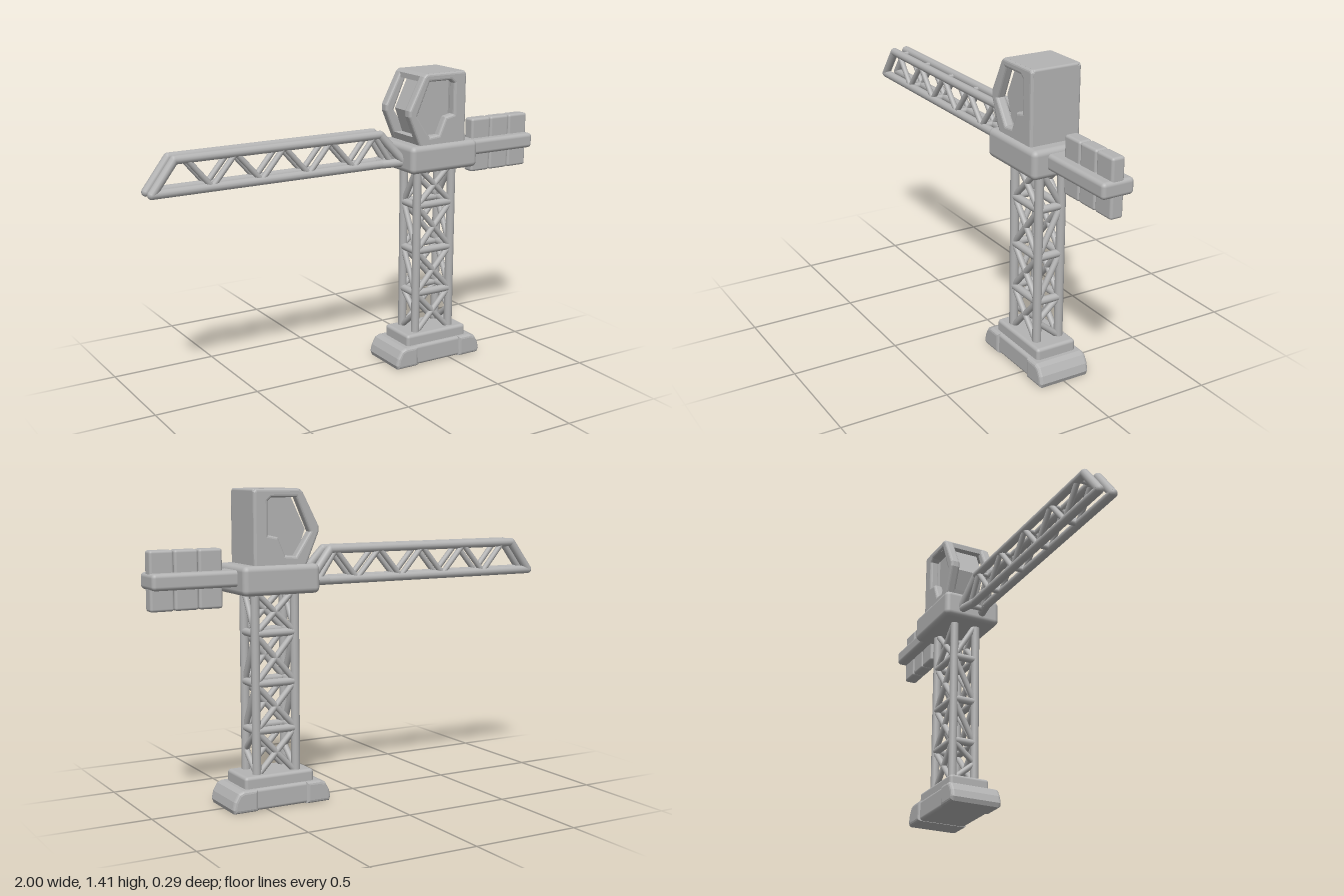
import * as THREE from 'three';
import { RoundedBoxGeometry } from 'three/addons/geometries/RoundedBoxGeometry.js';

const grey = new THREE.MeshStandardMaterial({ color: 0xb4b4b4 });
grey.name = 'plain grey';

const V = (x, y, z) => new THREE.Vector3(x, y, z);

function add(parent, name, geometry) {
  const mesh = new THREE.Mesh(geometry, grey);
  mesh.name = name;
  parent.add(mesh);
  return mesh;
}

function section(parent, name) {
  const g = new THREE.Group();
  g.name = name;
  parent.add(g);
  return g;
}

// Soft-edged block given by its extents
function block(parent, name, [x0, x1], [y0, y1], [z0, z1], r = 0.015) {
  const m = add(parent, name, new RoundedBoxGeometry(x1 - x0, y1 - y0, z1 - z0, 3, r));
  m.position.set((x0 + x1) / 2, (y0 + y1) / 2, (z0 + z1) / 2);
  return m;
}

// Round bar between two points
function bar(parent, name, a, b, r) {
  const m = add(parent, name, new THREE.CylinderGeometry(r, r, a.distanceTo(b), 12));
  m.position.copy(a).add(b).multiplyScalar(0.5);
  m.quaternion.setFromUnitVectors(V(0, 1, 0), b.clone().sub(a).normalize());
  return m;
}

// Chain of bars with ball joints at the corners
function rail(parent, name, points, r) {
  points.forEach((p, i) => {
    add(parent, name + 'Joint', new THREE.SphereGeometry(r, 12, 8)).position.copy(p);
    if (i) bar(parent, name, points[i - 1], p, r);
  });
}

// Outline in x/y extruded from z0 to z1 with rounded rims
function slab(parent, name, outline, z0, z1, bevel, hole) {
  const toVecs = (pts) => pts.map(([x, y]) => new THREE.Vector2(x, y));
  const shape = new THREE.Shape(toVecs(outline));
  if (hole) shape.holes.push(new THREE.Path(toVecs(hole)));
  const geo = new THREE.ExtrudeGeometry(shape, {
    depth: z1 - z0 - 2 * bevel, bevelEnabled: bevel > 0, bevelThickness: bevel,
    bevelSize: bevel, bevelOffset: -bevel, bevelSegments: 3,
  });
  geo.translate(0, 0, z0 + bevel);
  return add(parent, name, geo);
}

export function createModel() {
  const crane = new THREE.Group();
  crane.name = 'towerCrane';
  const cx = 0.428;

  // Base: two sloped feet joined by a slightly recessed middle
  const base = section(crane, 'base');
  const foot = [[0.235, 0], [0.0, 0], [0.0, 0.1], [0.19, 0.1], [0.215, 0.09], [0.235, 0.055], [0.243, 0.02]];
  slab(base, 'rightFoot', foot.map(([x, y]) => [cx - (x + (x ? 0 : 0.12)), y]).reverse(), -0.127, 0.127, 0.015);
  slab(base, 'leftFoot', foot.map(([x, y]) => [cx + (x + (x ? 0 : 0.12)), y]).reverse(), -0.127, 0.127, 0.015);
  block(base, 'middleBlock', [0.27, 0.59], [0.002, 0.1], [-0.118, 0.118]);
  block(base, 'upperStep', [0.26, 0.6], [0.07, 0.152], [-0.1, 0.1]);

  // Tower: four legs, rungs and diagonal bracing
  const tower = section(crane, 'tower');
  const lx = 0.097, lz = 0.057, levels = [0.14, 0.345, 0.557, 0.78, 0.97];
  for (const sx of [-1, 1]) for (const sz of [-1, 1])
    bar(tower, 'leg', V(cx + sx * lx, 0.12, sz * lz), V(cx + sx * lx, 0.98, sz * lz), 0.02);
  for (let i = 0; i < 4; i++) {
    const a = levels[i], b = levels[i + 1];
    for (const s of [-1, 1]) {
      const z = s * lz, x = cx + s * lx, flip = i === 3 ? -1 : 1;
      bar(tower, 'crossBrace', V(cx - lx, a, z), V(cx + lx, b, z), 0.014);
      bar(tower, 'crossBrace', V(cx + lx, a, z), V(cx - lx, b, z), 0.014);
      if (i) {
        bar(tower, 'rung', V(cx - lx, a, z), V(cx + lx, a, z), 0.018);
        bar(tower, 'sideRung', V(x, a, -lz), V(x, a, lz), 0.018);
        bar(tower, 'sideBrace', V(x, a, flip * lz), V(x, b, -flip * lz), 0.014);
      } else {
        bar(tower, 'sideBrace', V(x, a + 0.01, -lz), V(x, 0.245, lz), 0.014);
        bar(tower, 'sideBrace', V(x, 0.245, lz), V(x, b, -lz), 0.014);
      }
    }
  }

  // Turntable
  block(crane, 'turntable', [0.243, 0.615], [0.955, 1.085], [-0.145, 0.145], 0.025);

  // Cab: side frames with window openings around a recessed core
  const cab = section(crane, 'cab');
  const outline = [[0.305, 1.07], [0.555, 1.07], [0.555, 1.4], [0.545, 1.413], [0.335, 1.413], [0.318, 1.4],
    [0.24, 1.25], [0.24, 1.222]];
  const opening = [[0.35, 1.375], [0.47, 1.375], [0.487, 1.36], [0.487, 1.215], [0.44, 1.205], [0.405, 1.125],
    [0.355, 1.12], [0.285, 1.225]];
  for (const s of [-1, 1])
    slab(cab, 'sideFrame', outline, s < 0 ? -0.123 : 0.075, s < 0 ? -0.075 : 0.123, 0.012, opening);
  slab(cab, 'core', [[0.345, 1.07], [0.5, 1.07], [0.5, 1.39], [0.36, 1.39], [0.285, 1.235]], -0.07, 0.07, 0);
  block(cab, 'rearWall', [0.488, 0.555], [1.07, 1.413], [-0.112, 0.112], 0.01);
  slab(cab, 'roof', [[0.318, 1.375], [0.555, 1.375], [0.555, 1.4], [0.545, 1.413], [0.335, 1.413], [0.318, 1.4]],
    -0.112, 0.112, 0);
  slab(cab, 'windowSill', [[0.305, 1.07], [0.4, 1.07], [0.4, 1.12], [0.285, 1.12]], -0.1, 0.1, 0);

  // Jib: two mirrored trusses tied together along the bottom
  const jib = section(crane, 'jib');
  const tops = [-0.82, -0.59, -0.355, -0.12, 0.11], bottoms = [-0.705, -0.47, -0.235, 0.0, 0.2];
  for (const s of [-1, 1]) {
    const z = s * 0.033 - 0.004, zEnd = s * 0.055 - 0.004;
    rail(jib, 'chord', [V(0.26, 1.0, zEnd), V(0.15, 0.998, z), V(-0.98, 0.999, z), V(-0.875, 1.137, z),
      V(0.14, 1.137, z), V(0.25, 1.01, zEnd)], 0.02);
    tops.forEach((x, i) => {
      if (i) bar(jib, 'lattice', V(bottoms[i - 1], 1.0, z), V(x, 1.135, z), 0.013);
      bar(jib, 'lattice', V(x, 1.135, z), V(bottoms[i], 1.0, z), 0.013);
    });
  }
  for (const x of bottoms) bar(jib, 'bottomTie', V(x, 0.999, -0.035), V(x, 0.999, 0.03), 0.013);
  for (const x of tops) bar(jib, 'topTie', V(x, 1.135, -0.035), V(x, 1.135, 0.03), 0.01);

  // Counter-jib with three hanging weights
  const counter = section(crane, 'counterJib');
  block(counter, 'beam', [0.59, 1.0], [0.993, 1.065], [-0.079, 0.075], 0.018);
  for (let i = 0; i < 3; i++)
    block(counter, 'counterweight', [0.663 + i * 0.111, 0.772 + i * 0.111], [0.9, 1.16], [-0.032, 0.03], 0.012);

  return crane;
}
